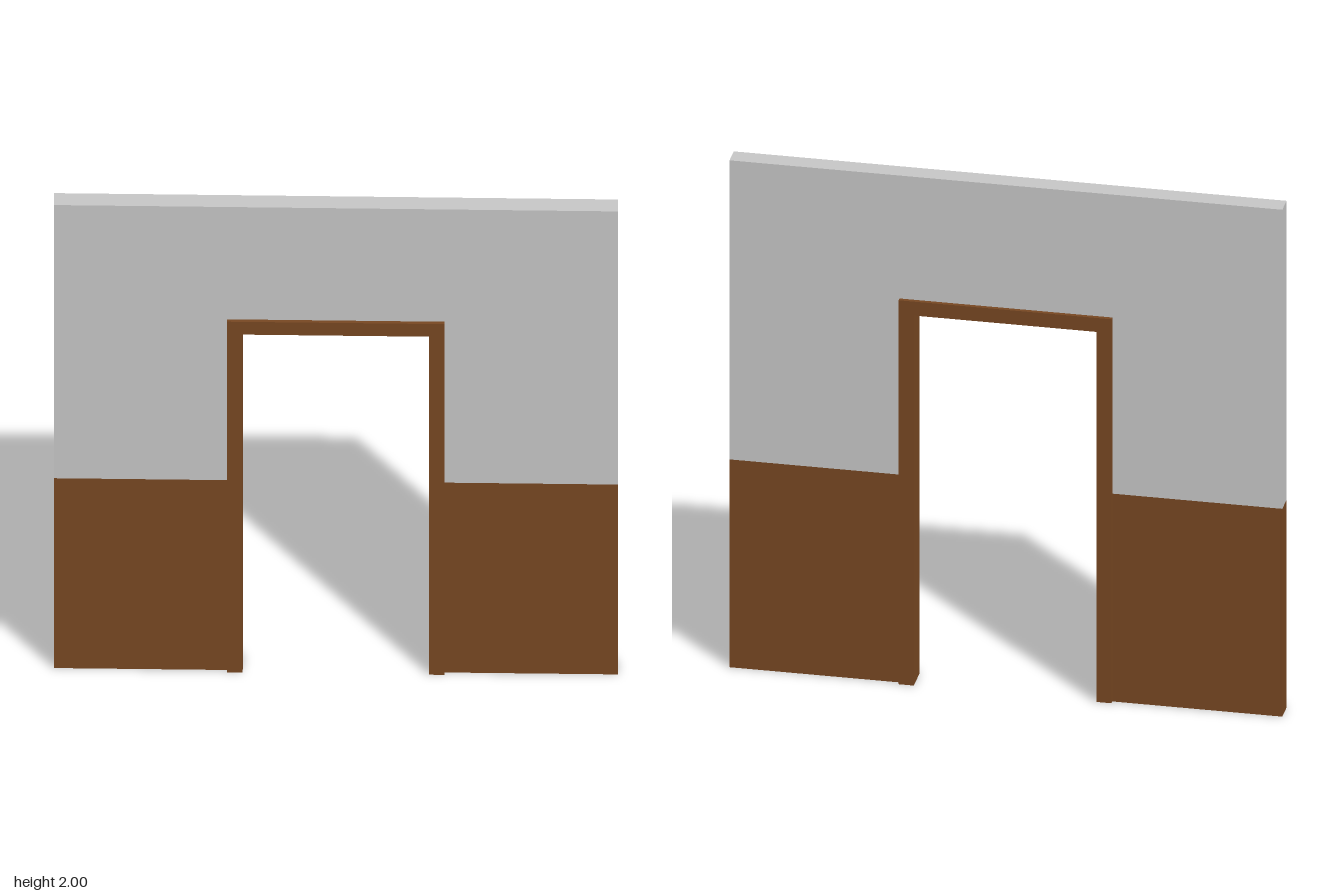
import * as THREE from 'three';

const WALL_DEPTH = 0.074, FRAME_DEPTH = 0.104;
const OUTER_X = 0.385, OUTER_Y = 1.515; // outside of the door frame
const INNER_X = 0.33, INNER_Y = 1.46;   // clear opening
const SPLIT_Y = 0.82;                   // top of the brown lower wall

// Upside-down U outline, extruded and centred on z = 0
function archGeometry(outX, outY, inX, inY, base, depth) {
  const shape = new THREE.Shape([
    [-outX, base], [-inX, base], [-inX, inY], [inX, inY],
    [inX, base], [outX, base], [outX, outY], [-outX, outY],
  ].map(([x, y]) => new THREE.Vector2(x, y)));
  const geo = new THREE.ExtrudeGeometry(shape, { depth, bevelEnabled: false });
  return geo.translate(0, 0, -depth / 2);
}

export function createModel() {
  const group = new THREE.Group();
  group.name = 'doorwayWall';
  const plaster = new THREE.MeshStandardMaterial({ name: 'greyPlaster', color: 0xc6c6c6 });
  const wood = new THREE.MeshStandardMaterial({ name: 'brownWood', color: 0x774722 });

  const add = (name, geometry, material) => {
    const mesh = new THREE.Mesh(geometry, material);
    mesh.name = name;
    group.add(mesh);
    return mesh;
  };

  // Grey upper wall around the head of the doorway
  add('upperWall', archGeometry(1, 2, OUTER_X, OUTER_Y, SPLIT_Y, WALL_DEPTH), plaster);

  // Brown lower wall on each side of the doorway
  const width = 1 - OUTER_X;
  for (const [side, name] of [[1, 'leftLowerWall'], [-1, 'rightLowerWall']]) {
    add(name, new THREE.BoxGeometry(width, SPLIT_Y, WALL_DEPTH), wood)
      .position.set(side * (OUTER_X + width / 2), SPLIT_Y / 2, 0);
  }

  // Door frame standing slightly proud of both wall faces
  add('doorFrame', archGeometry(OUTER_X, OUTER_Y, INNER_X, INNER_Y, 0, FRAME_DEPTH), wood);

  return group;
}
